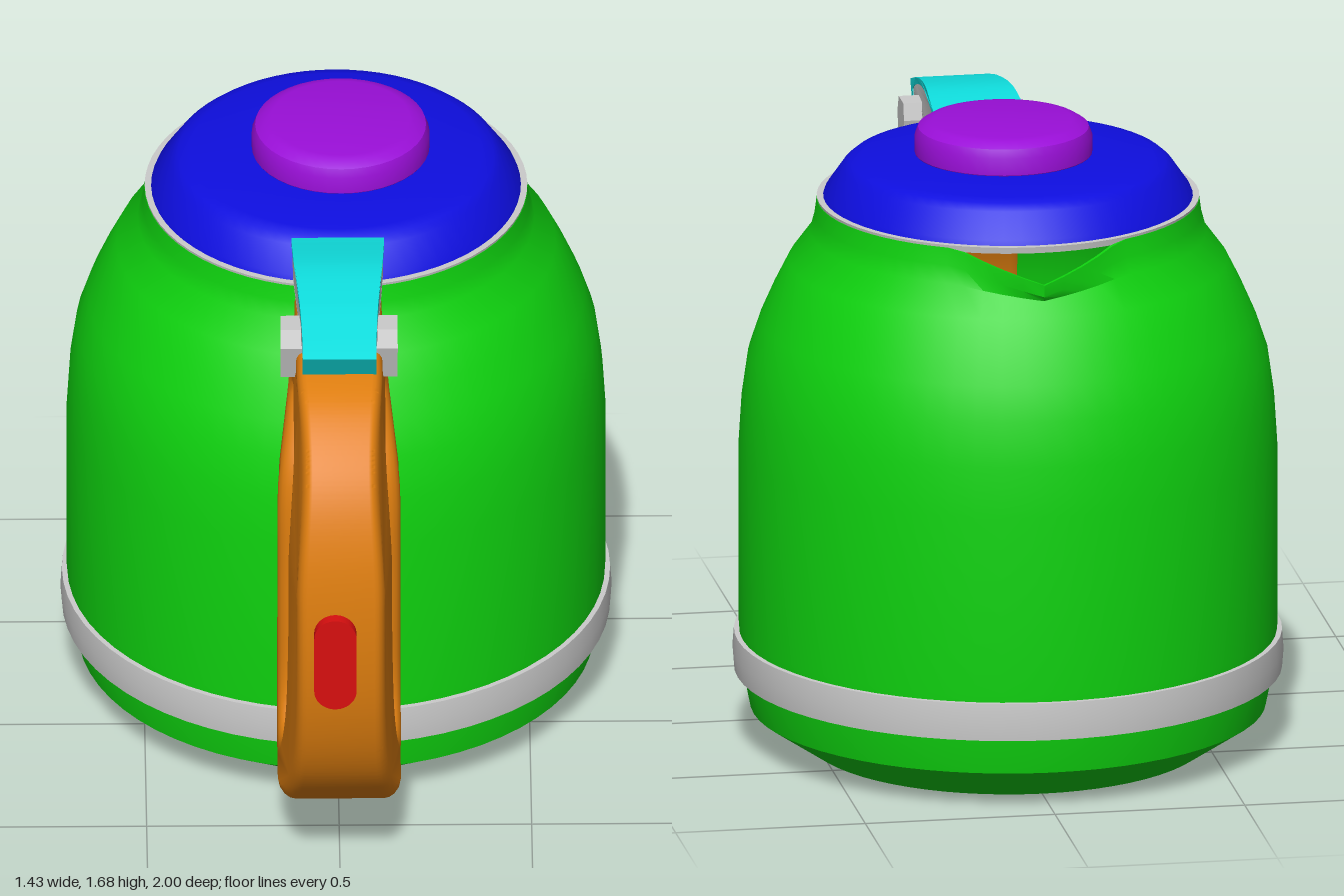
import * as THREE from 'three';
import { toCreasedNormals } from 'three/addons/utils/BufferGeometryUtils.js';

const CENTER_Z = -0.285; // axis of the pot; the handle reaches out to +z
const COLORS = {
  green: 0x0fd30f, blue: 0x0e0ee0, purple: 0x9a0fd8, orange: 0xe07f0f,
  cyan: 0x0fdede, red: 0xd80f0f, grey: 0xcccccc,
};

function part(name, geometry, color, crease = 0.5) {
  const material = new THREE.MeshStandardMaterial({ color: COLORS[color], side: THREE.DoubleSide });
  const mesh = new THREE.Mesh(toCreasedNormals(geometry, crease), material);
  mesh.name = name;
  return mesh;
}

const vectors = (pts) => pts.map(([x, y]) => new THREE.Vector2(x, y));

// Move every vertex by a rule
function deform(geometry, rule) {
  const pos = geometry.attributes.position;
  const v = new THREE.Vector3();
  for (let i = 0; i < pos.count; i++) {
    rule(v.fromBufferAttribute(pos, i));
    pos.setXYZ(i, v.x, v.y, v.z);
  }
  return geometry;
}

// Turned part from [radius, y] points
function turned(name, pts, color, segments = 64) {
  const mesh = part(name, new THREE.LatheGeometry(vectors(pts), segments), color);
  mesh.position.z = CENTER_Z;
  return mesh;
}

// Side profile in (z, y), extruded across x with a total width
function sideExtrude(shape, width, bevel = 0, bevelSegments = 3) {
  const g = new THREE.ExtrudeGeometry(shape, {
    depth: width - 2 * bevel, curveSegments: 40, bevelEnabled: bevel > 0,
    bevelThickness: bevel, bevelSize: bevel, bevelOffset: -bevel, bevelSegments,
  });
  return g.translate(0, 0, -(width - 2 * bevel) / 2).rotateY(-Math.PI / 2);
}

// Pot wall with its lip drawn out into a pouring spout at the back
function makeBody() {
  const profile = [
    [0.52, 0], [0.67, 0.1], [0.69, 0.2], [0.7, 0.32], [0.7, 0.8], [0.692, 0.93], [0.675, 1.05],
    [0.645, 1.14], [0.61, 1.22], [0.57, 1.3], [0.515, 1.375], [0.503, 1.42], [0.497, 1.465],
    [0.487, 1.465], [0.49, 1.42], [0.5, 1.37], [0.54, 1.3],
  ];
  const g = deform(new THREE.LatheGeometry(vectors(profile), 64), (v) => {
    const angle = Math.abs(Math.atan2(v.x, -v.z));
    const pull = Math.max(0, 1 - angle / 0.45) * THREE.MathUtils.smoothstep(v.y, 1.3, 1.46);
    const r = Math.hypot(v.x, v.z);
    const k = (r + 0.062 * pull) / r;
    v.set(v.x * k, v.y - 0.08 * pull, v.z * k);
  });
  const mesh = part('body', g, 'green');
  mesh.position.z = CENTER_Z;
  return mesh;
}

// D-shaped handle hugging the pot, narrower towards the grip and the top
function makeHandle() {
  const shape = new THREE.Shape();
  shape.moveTo(0.2, 1.455);
  shape.splineThru(vectors([
    [0.4, 1.465], [0.6, 1.455], [0.75, 1.405], [0.88, 1.28], [0.95, 1.1], [0.972, 0.85],
    [0.95, 0.6], [0.88, 0.4], [0.75, 0.245], [0.62, 0.17], [0.5, 0.145], [0.38, 0.165],
  ]));
  for (const [z, y] of [[0.385, 0.3], [0.39, 0.85], [0.37, 1.05], [0.3, 1.22], [0.2, 1.38]]) shape.lineTo(z, y);
  const hole = new THREE.CatmullRomCurve3([
    [0.748, 0.9], [0.73, 1.1], [0.65, 1.255], [0.52, 1.3], [0.385, 1.28], [0.42, 1.18], [0.475, 1.04],
    [0.487, 0.7], [0.505, 0.4], [0.55, 0.345], [0.62, 0.355], [0.7, 0.48], [0.738, 0.68],
  ].map(([z, y]) => new THREE.Vector3(z, y, 0)), true);
  shape.holes.push(new THREE.Path(hole.getPoints(60).slice(0, -1).map((p) => new THREE.Vector2(p.x, p.y))));
  const g = deform(sideExtrude(shape, 0.32, 0.036, 4), (v) => {
    const { smoothstep } = THREE.MathUtils;
    v.x *= (1 - 0.3 * smoothstep(v.z, 0.55, 1)) * (1 - 0.3 * smoothstep(v.y, 0.95, 1.46));
  });
  return part('handle', g, 'orange', 0.7);
}

// Thumb lever: grey core, coloured cap and a hinge across the handle
function makeLever() {
  const group = new THREE.Group();
  group.name = 'lidLever';
  const core = new THREE.Shape();
  core.moveTo(0.13, 1.565);
  core.splineThru(vectors([[0.3, 1.58], [0.45, 1.565], [0.57, 1.53], [0.615, 1.505]]));
  core.lineTo(0.595, 1.455);
  core.splineThru(vectors([[0.45, 1.475], [0.3, 1.487], [0.13, 1.485]]));
  const cap = new THREE.Shape();
  cap.moveTo(0.13, 1.57);
  cap.splineThru(vectors([[0.3, 1.593], [0.45, 1.577], [0.57, 1.548]]));
  cap.lineTo(0.648, 1.522);
  cap.lineTo(0.61, 1.452);
  cap.lineTo(0.592, 1.46);
  cap.lineTo(0.612, 1.505);
  cap.splineThru(vectors([[0.57, 1.528], [0.45, 1.56], [0.3, 1.575], [0.13, 1.555]]));
  const taper = (v) => { v.x *= 1 - 0.2 * THREE.MathUtils.smoothstep(v.z, 0.13, 0.62); };
  group.add(part('leverCore', deform(sideExtrude(core, 0.235), taper), 'grey'));
  group.add(part('leverCap', deform(sideExtrude(cap, 0.24), taper), 'cyan'));
  const hinge = new THREE.Shape(vectors([
    [0.43, 1.52], [0.5, 1.52], [0.52, 1.475], [0.49, 1.37], [0.45, 1.37], [0.42, 1.475],
  ]));
  // One lug on each side of the handle
  for (const side of [-1, 1]) {
    const lug = part(side > 0 ? 'leftHingeLug' : 'rightHingeLug', sideExtrude(hinge, 0.06), 'grey', 0.2);
    lug.position.x = side * 0.122;
    group.add(lug);
  }
  return group;
}

// Pill-shaped button set on the grip
function makeButton() {
  const r = 0.055;
  const shape = new THREE.Shape();
  shape.absarc(0, 0.08, r, 0, Math.PI);
  shape.absarc(0, -0.08, r, Math.PI, 2 * Math.PI);
  const mesh = part('gripButton', new THREE.ExtrudeGeometry(shape, { depth: 0.06, bevelEnabled: false, curveSegments: 12 }), 'red');
  mesh.position.set(-0.015, 0.805, 0.94);
  return mesh;
}

export function createModel() {
  const model = new THREE.Group();
  model.name = 'kettle';
  model.add(makeBody());
  model.add(turned('base', [[0, 0], [0.52, 0]], 'grey'));
  model.add(turned('band', [[0.68, 0.2], [0.712, 0.2], [0.716, 0.25], [0.712, 0.3], [0.68, 0.3]], 'grey'));
  model.add(turned('rimRing', [[0.42, 1.455], [0.494, 1.455], [0.497, 1.472], [0.42, 1.472]], 'grey'));
  model.add(turned('lid', [
    [0.483, 1.465], [0.475, 1.485], [0.43, 1.55], [0.41, 1.567], [0.38, 1.575], [0.25, 1.588], [0, 1.59],
  ], 'blue'));
  const knob = turned('lidKnob', [
    [0.22, 1.57], [0.231, 1.59], [0.231, 1.635], [0.222, 1.658], [0.2, 1.672], [0.18, 1.676], [0, 1.676],
  ], 'purple', 40);
  knob.position.x = 0.012;
  model.add(knob, makeHandle(), makeLever(), makeButton());
  return model;
}
